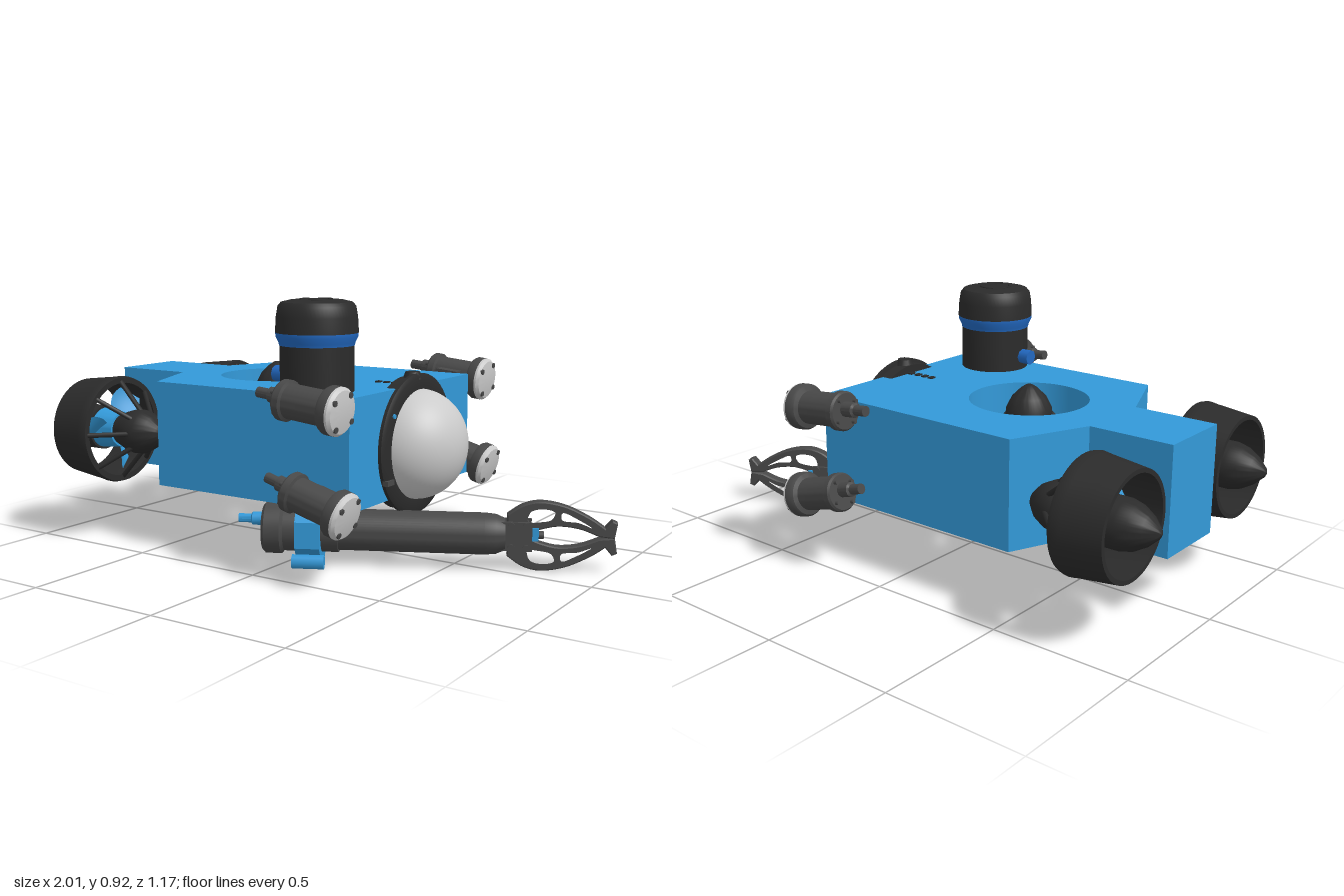
import * as THREE from 'three';
import { toCreasedNormals } from 'three/addons/utils/BufferGeometryUtils.js';

const mat = (color, side = THREE.FrontSide) => new THREE.MeshStandardMaterial({ color, side });
const BLUE = mat(0x3399d8), DEEP = mat(0x2268c0), BLACK = mat(0x2b2b2b), DARK = mat(0x484848);
const GREY = mat(0xcccccc), BLADE = mat(0x3399d8, THREE.DoubleSide);
const V = (x, y, z) => new THREE.Vector3(x, y, z);

function add(parent, name, geo, material, x = 0, y = 0, z = 0) {
  const m = new THREE.Mesh(geo, material);
  m.name = name;
  m.position.set(x, y, z);
  parent.add(m);
  return m;
}
function group(parent, name, x = 0, y = 0, z = 0) {
  const g = new THREE.Group();
  g.name = name;
  g.position.set(x, y, z);
  parent.add(g);
  return g;
}
const lathe = (pts, seg = 48) =>
  toCreasedNormals(new THREE.LatheGeometry(pts.map(p => new THREE.Vector2(...p)), seg), 0.6);
// Turned solid whose axis is x instead of y
const latheX = (pts, seg) => lathe(pts, seg).rotateZ(-Math.PI / 2);
// Plain cylinder along x from a to b
const rodX = (r, a, b, seg = 32) =>
  new THREE.CylinderGeometry(r, r, b - a, seg).rotateZ(-Math.PI / 2).translate((a + b) / 2, 0, 0);
// Cylinder between two points
function strut(a, b, r) {
  const d = b.clone().sub(a);
  const q = new THREE.Quaternion().setFromUnitVectors(V(0, 1, 0), d.clone().normalize());
  const c = a.clone().add(b).multiplyScalar(0.5);
  return new THREE.CylinderGeometry(r, r, d.length(), 8).applyQuaternion(q).translate(c.x, c.y, c.z);
}

// Ducted thruster along y, motor at the +y end
function thruster(parent, name, x, y, z) {
  const g = group(parent, name, x, y, z);
  add(g, 'duct', lathe([[0.165, -0.09], [0.18, -0.09], [0.187, -0.03], [0.196, 0.05], [0.2, 0.075], [0.196, 0.09],
    [0.175, 0.09], [0.168, 0.03], [0.165, -0.09]]), BLACK);
  add(g, 'tailCone', lathe([[0, -0.185], [0.018, -0.175], [0.05, -0.14], [0.073, -0.1], [0.083, -0.06], [0.083, 0.0],
    [0, 0.0]]), BLACK);
  add(g, 'propellerHub', lathe([[0, 0], [0.075, 0], [0.065, 0.09], [0, 0.09]]), BLADE);
  add(g, 'motor', lathe([[0, 0.085], [0.055, 0.085], [0.072, 0.13], [0.083, 0.17], [0.08, 0.205], [0.06, 0.245],
    [0.03, 0.275], [0.012, 0.287], [0, 0.288]]), BLACK);
  for (let i = 0; i < 8; i++) {
    const a = (i / 8) * Math.PI * 2, c = Math.cos(a), s = Math.sin(a);
    add(g, 'strut', strut(V(0.184 * c, 0.08, 0.184 * s), V(0.075 * c, 0.185, 0.075 * s), 0.009), BLACK);
  }
  // Twisted blades, pitch easing toward the tip
  for (let i = 0; i < 3; i++) {
    const geo = new THREE.PlaneGeometry(0.1, 1, 10, 6), p = geo.attributes.position;
    for (let k = 0; k < p.count; k++) {
      const t = p.getX(k) / 0.1 + 0.5, w = p.getY(k) * (0.06 + 0.05 * Math.sin(t * 2.6)), pitch = 0.95 - 0.5 * t;
      p.setXYZ(k, 0.055 + 0.1 * t, 0.04 + w * Math.sin(pitch), w * Math.cos(pitch));
    }
    geo.computeVertexNormals();
    add(g, 'propellerBlade', geo, BLADE).rotation.y = (i * Math.PI * 2) / 3 + 0.4;
  }
  return g;
}

// Flood light, lens centre at the group origin, facing +x
function light(parent, x, y, side, tilt) {
  const g = group(parent, 'floodLight', x, y, side * 0.505);
  g.rotation.z = -tilt;
  add(g, 'lightBody', latheX([[0, -0.235], [0.062, -0.235], [0.068, -0.228], [0.068, -0.205], [0.058, -0.2], [0.058, -0.06],
    [0.074, -0.055], [0.08, -0.045], [0.08, -0.018], [0, -0.018]]), DARK);
  add(g, 'lens', latheX([[0, -0.02], [0.079, -0.02], [0.079, -0.01], [0.07, 0], [0.04, 0.005], [0, 0.006]]), GREY);
  add(g, 'connector', latheX([[0, -0.33], [0.018, -0.33], [0.018, -0.285], [0.026, -0.28], [0.026, -0.23], [0, -0.23]], 16), DARK, 0, 0.008);
  for (let i = 0; i < 4; i++) {
    const a = Math.PI * (0.25 + i / 2) + 0.2, cy = Math.cos(a), cz = Math.sin(a);
    add(g, 'lensScrew', rodX(0.01, -0.03, 0.006, 10), DARK, 0, 0.062 * cy, 0.062 * cz);
    add(g, 'rearScrew', rodX(0.007, -0.248, -0.225, 8), DARK, 0, 0.05 * cy, 0.05 * cz);
  }
  add(g, 'lightBracket', new THREE.BoxGeometry(0.09, 0.05, 0.05), DARK, -0.13, 0, -side * 0.07);
}

// Upper claw: curved plate with two windows, in the plane of the arm axis
function jawGeometry() {
  const v = pts => pts.map(p => new THREE.Vector2(...p));
  const s = new THREE.Shape();
  s.moveTo(0.68, 0.02);
  s.lineTo(0.68, 0.07);
  s.splineThru(v([[0.73, 0.103], [0.79, 0.116], [0.87, 0.102], [0.95, 0.065], [1.005, 0.028]]));
  s.lineTo(1.028, 0.055);
  s.lineTo(1.04, 0.05);
  s.lineTo(1.032, 0.003);
  s.lineTo(0.985, 0.008);
  s.splineThru(v([[0.92, 0.032], [0.85, 0.04], [0.79, 0.028], [0.75, 0.012]]));
  s.closePath();
  const hole = pts => {
    const h = new THREE.Path();
    h.setFromPoints(new THREE.CatmullRomCurve3(pts.map(p => V(p[0], p[1], 0)), true).getPoints(28)
      .slice(0, -1).map(p => new THREE.Vector2(p.x, p.y)));
    s.holes.push(h);
  };
  hole([[0.745, 0.05], [0.755, 0.085], [0.8, 0.095], [0.835, 0.085], [0.825, 0.06], [0.785, 0.05]]);
  hole([[0.858, 0.06], [0.86, 0.084], [0.91, 0.064], [0.96, 0.034], [0.915, 0.051]]);
  const g = new THREE.ExtrudeGeometry(s, { depth: 0.034, bevelEnabled: true, bevelSize: 0.004, bevelThickness: 0.005, bevelSegments: 1, curveSegments: 24 });
  return toCreasedNormals(g.translate(0, 0, -0.017), 0.5);
}

export function createModel() {
  const root = new THREE.Group();
  root.name = 'underwaterVehicle';

  // Hull slab with round well
  const plan = new THREE.Shape([[-0.91, -0.14], [-0.605, -0.14], [-0.49, -0.413], [0.33, -0.413], [0.33, 0.413],
    [-0.49, 0.413], [-0.605, 0.14], [-0.91, 0.14]].map(p => new THREE.Vector2(...p)));
  plan.holes.push(new THREE.Path().absarc(-0.26, 0, 0.21, 0, Math.PI * 2, true));
  const hull = new THREE.ExtrudeGeometry(plan, { depth: 0.378, bevelEnabled: false, curveSegments: 64 });
  add(root, 'hull', toCreasedNormals(hull.rotateX(-Math.PI / 2), 0.5), BLUE, 0, 0.236, 0);

  // Thrusters
  const lift = thruster(root, 'verticalThruster', -0.26, 0.376, 0);
  for (const s of [-1, 1]) {
    add(lift, 'thrusterMount', new THREE.BoxGeometry(0.11, 0.06, 0.022), BLACK, 0, 0.06, s * 0.198);
    thruster(root, 'rearThruster', -0.818, 0.41, s * 0.345).rotation.z = -Math.PI / 2;
    add(root, 'rearThrusterMount', new THREE.BoxGeometry(0.1, 0.06, 0.03), BLACK, -0.8, 0.41, s * 0.15);
  }

  // Viewing dome and its flange
  const dome = group(root, 'viewingDome', 0.335, 0.41, 0);
  add(dome, 'domeFlange', latheX([[0, -0.045], [0.234, -0.045], [0.234, 0], [0.248, 0.002], [0.248, 0.014], [0.235, 0.022],
    [0.2, 0.022], [0, 0.022]], 64), BLACK);
  add(dome, 'domeGlass', new THREE.SphereGeometry(0.194, 64, 24, 0, Math.PI * 2, 0, Math.PI / 2).rotateZ(-Math.PI / 2).scale(0.92, 1, 1), GREY, 0.008);
  add(dome, 'flangeLug', new THREE.CylinderGeometry(0.025, 0.035, 0.025, 16), BLACK, -0.01, 0.24);
  for (const s of [-1, 1]) {
    add(dome, 'flangeClip', new THREE.BoxGeometry(0.02, 0.018, 0.045), DARK, 0.02, -0.103, s * 0.207).rotation.x = s > 0 ? 0 : 0.6;
    add(dome, 'flangeStud', rodX(0.008, 0.01, 0.028, 10), BLUE, 0, 0.12, s * 0.18);
  }
  for (let i = 0; i < 4; i++) add(root, 'deckMark', new THREE.BoxGeometry(0.018, 0.008, 0.024), BLACK, 0.18 + i * 0.033, 0.615, -0.012);

  // Sonar canister
  const sonar = group(root, 'sonar', 0.13, 0.614, 0.303);
  add(sonar, 'sonarBase', lathe([[0, 0], [0.125, 0], [0.125, 0.16], [0, 0.16]], 64), BLACK);
  add(sonar, 'sonarBand', lathe([[0, 0.155], [0.127, 0.155], [0.129, 0.165], [0.139, 0.185], [0.139, 0.198], [0, 0.198]], 64), DEEP);
  add(sonar, 'sonarCap', lathe([[0, 0.197], [0.14, 0.197], [0.137, 0.25], [0.131, 0.285], [0.12, 0.298], [0.09, 0.305], [0, 0.307]], 64), BLACK);
  for (let i = 0; i < 3; i++)
    add(sonar, 'capRidge', new THREE.TorusGeometry(0.055, 0.004, 6, 20, 1.5).rotateX(Math.PI / 2), BLACK, 0, 0.306).rotation.y = i * 2.09;
  add(sonar, 'sonarPlug', rodX(0.028, -0.165, -0.12, 8), DEEP, 0, 0.05, 0.01);

  // Flood lights
  for (const s of [-1, 1]) {
    light(root, 0.365, 0.585, s, 0.1);
    light(root, 0.385, 0.25, s, 0.27);
  }

  // Manipulator arm, axis along local x
  const arm = group(root, 'arm', 0.07, 0.121, 0.255);
  arm.rotation.y = Math.atan(0.5);
  add(arm, 'armTube', latheX([[0, -0.13], [0.072, -0.13], [0.072, 0.6], [0.068, 0.64], [0.055, 0.67], [0, 0.67]]), DARK);
  add(arm, 'armEndCap', latheX([[0, -0.165], [0.08, -0.165], [0.09, -0.155], [0.09, -0.1], [0.078, -0.09], [0, -0.09]]), DARK);
  add(arm, 'armCollar', rodX(0.08, -0.09, 0.1), DARK);
  const oct = new THREE.CylinderGeometry(0.119, 0.119, 0.085, 8).rotateY(Math.PI / 8).rotateZ(Math.PI / 2);
  add(arm, 'armClamp', toCreasedNormals(oct, 0.3), BLUE);
  add(arm, 'clampPad', new THREE.BoxGeometry(0.085, 0.05, 0.13), BLUE, 0, 0.09);
  add(arm, 'clampKnob', rodX(0.025, -0.05, 0.06, 8), BLUE, 0, -0.09, 0.11);
  add(arm, 'armPlug', latheX([[0, -0.255], [0.016, -0.255], [0.016, -0.21], [0.024, -0.205], [0.024, -0.16], [0, -0.16]], 12), BLUE, 0, 0.03);

  // Gripper
  const grip = group(arm, 'gripper');
  for (const s of [-1, 1]) {
    add(grip, 'gripperPlate', new THREE.BoxGeometry(0.12, 0.1, 0.012), DARK, 0.7, 0, s * 0.03);
    add(grip, 'gripperJaw', jawGeometry(), DARK).rotation.x = s > 0 ? 0 : Math.PI;
    for (const u of [0.69, 0.74])
      add(grip, 'jawPivot', new THREE.CylinderGeometry(0.012, 0.012, 0.084, 12).rotateX(Math.PI / 2), DARK, u, s * 0.038);
  }
  add(grip, 'gripperRod', rodX(0.014, 0.64, 0.8, 12), DARK);
  add(grip, 'gripperBlock', new THREE.BoxGeometry(0.04, 0.045, 0.06), BLUE, 0.762, 0.008);
  return root;
}
